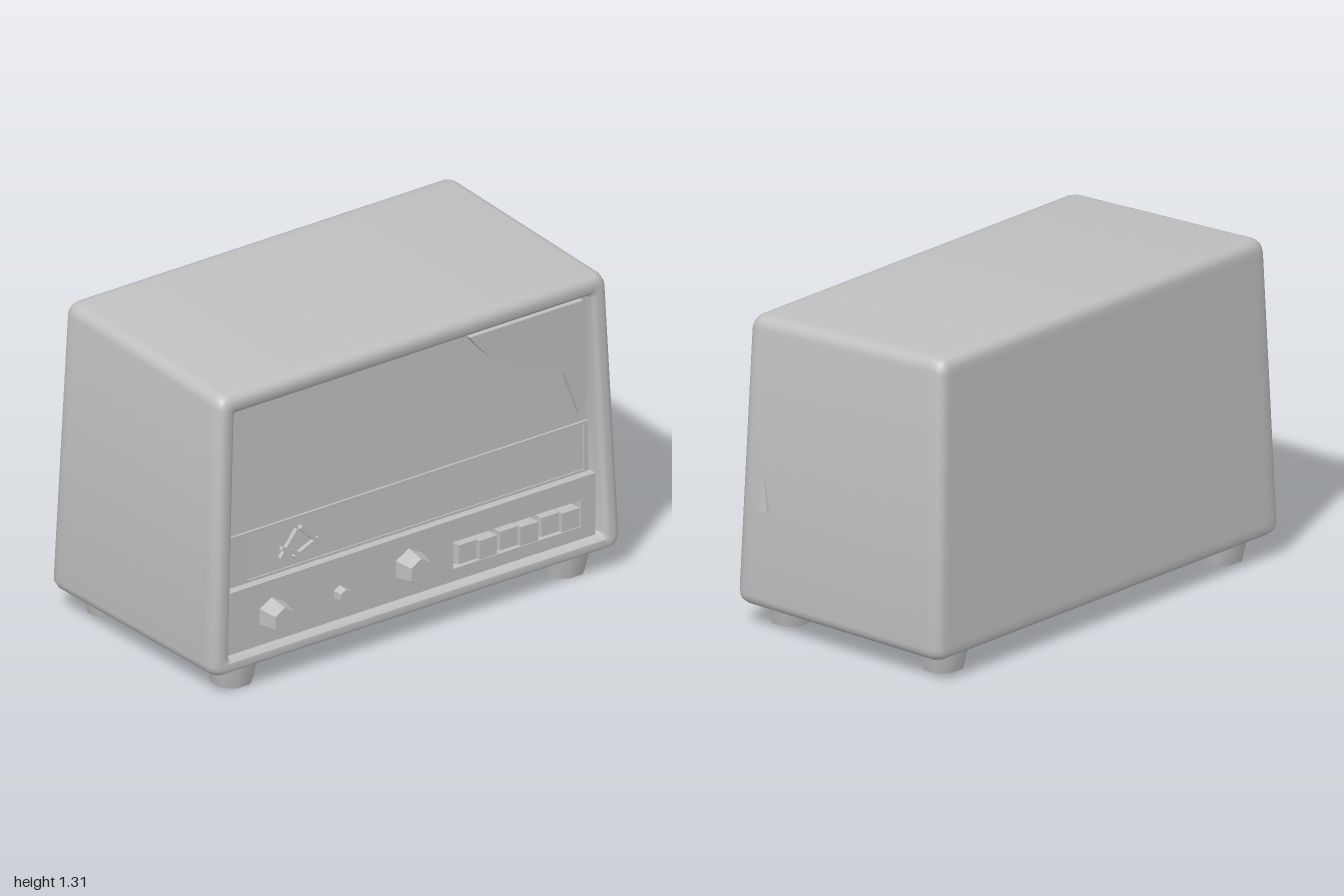
import * as THREE from 'three';
import { toCreasedNormals } from 'three/addons/utils/BufferGeometryUtils.js';

// Cabinet narrows towards the top, and its roof rises towards the back
function warp(x, y, z) {
  const t = (y - 0.1) / 1.2;
  return [x * (1 - 0.055 * t), y - 0.045 * t * (z + 0.5), z * (1 - 0.05 * t)];
}

// Rounded rectangle outline, counter-clockwise seen from the front
function ring(z, inset, radius) {
  const hw = 0.993 - inset, y0 = 0.092 + inset * 0.8, y1 = 1.312 - inset, pts = [];
  const corners = [[hw, y0, -1, 1], [hw, y1, -1, -1], [-hw, y1, 1, -1], [-hw, y0, 1, 1]];
  corners.forEach(([cx, cy, sx, sy], k) => {
    for (let i = 0; i <= 4; i++) {
      const a = (k - 1 + i / 4) * Math.PI / 2;
      pts.push(warp(cx + radius * (sx + Math.cos(a)), cy + radius * (sy + Math.sin(a)), z));
    }
  });
  return pts;
}

// Skin a list of outlines and close both ends
function loft(rings) {
  const n = rings[0].length, pos = rings.flat(2), idx = [];
  const last = (rings.length - 1) * n;
  for (let r = 0; r < rings.length - 1; r++) {
    for (let j = 0; j < n; j++) {
      const a = r * n + j, b = r * n + (j + 1) % n;
      idx.push(a, b, b + n, a, b + n, a + n);
    }
  }
  for (let j = 1; j < n - 1; j++) {
    idx.push(0, j + 1, j, last, last + j, last + j + 1);
  }
  const g = new THREE.BufferGeometry();
  g.setAttribute('position', new THREE.Float32BufferAttribute(pos, 3));
  g.setIndex(idx);
  return toCreasedNormals(g, 0.65);
}

function rectPath(Type, x0, x1, y0, y1) {
  return new Type([[x0, y0], [x1, y0], [x1, y1], [x0, y1]].map(p => new THREE.Vector2(...p)));
}

export function createModel() {
  const model = new THREE.Group();
  model.name = 'tableRadio';
  const grey = new THREE.MeshStandardMaterial({ color: 0xbfbfbf, side: THREE.DoubleSide });
  grey.name = 'plainGrey';

  function add(name, geometry, x = 0, y = 0, z = 0) {
    const mesh = new THREE.Mesh(geometry, grey);
    mesh.name = name;
    mesh.position.set(x, y, z);
    model.add(mesh);
    return mesh;
  }
  // Front plate with one rectangular opening
  function framedPanel(name, outer, hole, z, depth) {
    const shape = rectPath(THREE.Shape, ...outer);
    shape.holes.push(rectPath(THREE.Path, ...hole));
    add(name, new THREE.ExtrudeGeometry(shape, { depth, bevelEnabled: false }), 0, 0, z);
  }

  // Cabinet with rounded edges and a recessed front
  add('cabinet', loft([
    ring(-0.548, 0.07, 0.02),
    ring(-0.548, 0.04, 0.03),
    ring(-0.542, 0.02, 0.04),
    ring(-0.525, 0.006, 0.05),
    ring(-0.5, 0, 0.05),
    ring(-0.47, 0, 0.05),
    ring(0.43, 0, 0.05),
    ring(0.455, 0, 0.05),
    ring(0.48, 0.006, 0.05),
    ring(0.495, 0.018, 0.045),
    ring(0.5, 0.035, 0.04),
    ring(0.498, 0.065, 0.02),
    ring(0.485, 0.08, 0.015),
    ring(0.425, 0.09, 0.012),
  ]));

  // Tuning dial strip, set back below the speaker front
  framedPanel('dialFrame', [-0.88, 0.88, 0.42, 0.635], [-0.77, 0.86, 0.43, 0.622], 0.39, 0.035);
  for (const [x, y, angle] of [[-0.57, 0.53, 0.9], [-0.55, 0.49, -0.5], [-0.47, 0.54, -0.8], [-0.49, 0.49, 0.4]]) {
    add('dialPointer', new THREE.BoxGeometry(0.13, 0.016, 0.02), x, y, 0.425).rotation.z = angle;
  }

  // Control panel with the button slot
  framedPanel('controlPanel', [-0.89, 0.89, 0.14, 0.42], [0.2, 0.82, 0.21, 0.325], 0.39, 0.07);
  for (let i = 0; i < 6; i++) {
    const button = new THREE.BoxGeometry(0.085, 0.08, 0.075);
    add('pushButton', button, 0.26 + i * 0.1, 0.27 - (i % 2) * 0.01, 0.435);
  }

  // Faceted knobs
  for (const [x, y, r, front] of [[-0.68, 0.28, 0.07, 0.545], [-0.35, 0.27, 0.035, 0.5], [-0.015, 0.29, 0.075, 0.54]]) {
    const g = new THREE.CylinderGeometry(r * 0.75, r, front - 0.44, 6);
    g.rotateX(Math.PI / 2);
    add('knob', toCreasedNormals(g, 0.9), x, y, (front + 0.44) / 2);
  }

  // Folded cloth in the upper corner of the speaker front
  const fold = new THREE.Shape();
  fold.moveTo(0.3, 1.16);
  fold.quadraticCurveTo(0.45, 0.95, 0.76, 0.87);
  fold.lineTo(0.83, 0.68);
  fold.lineTo(0.87, 0.75);
  fold.lineTo(0.85, 1.16);
  add('clothFold', new THREE.ExtrudeGeometry(fold, { depth: 0.025, bevelEnabled: false }), 0, 0, 0.41);

  // Small raised catch on the left side
  const catchShape = new THREE.ConeGeometry(0.035, 0.14, 5);
  catchShape.scale(0.6, 1, 1);
  add('sideCatch', toCreasedNormals(catchShape, 0.9), 0.973, 0.57, 0.37);

  // Four tapered feet
  for (const x of [-0.81, 0.8]) {
    for (const z of [0.38, -0.405]) {
      const g = new THREE.CylinderGeometry(0.115, 0.085, 0.12, 8);
      g.rotateY(Math.PI / 8);
      g.scale(1, 1, 0.92);
      add('foot', toCreasedNormals(g, 0.9), x, 0.06, z);
    }
  }
  return model;
}
